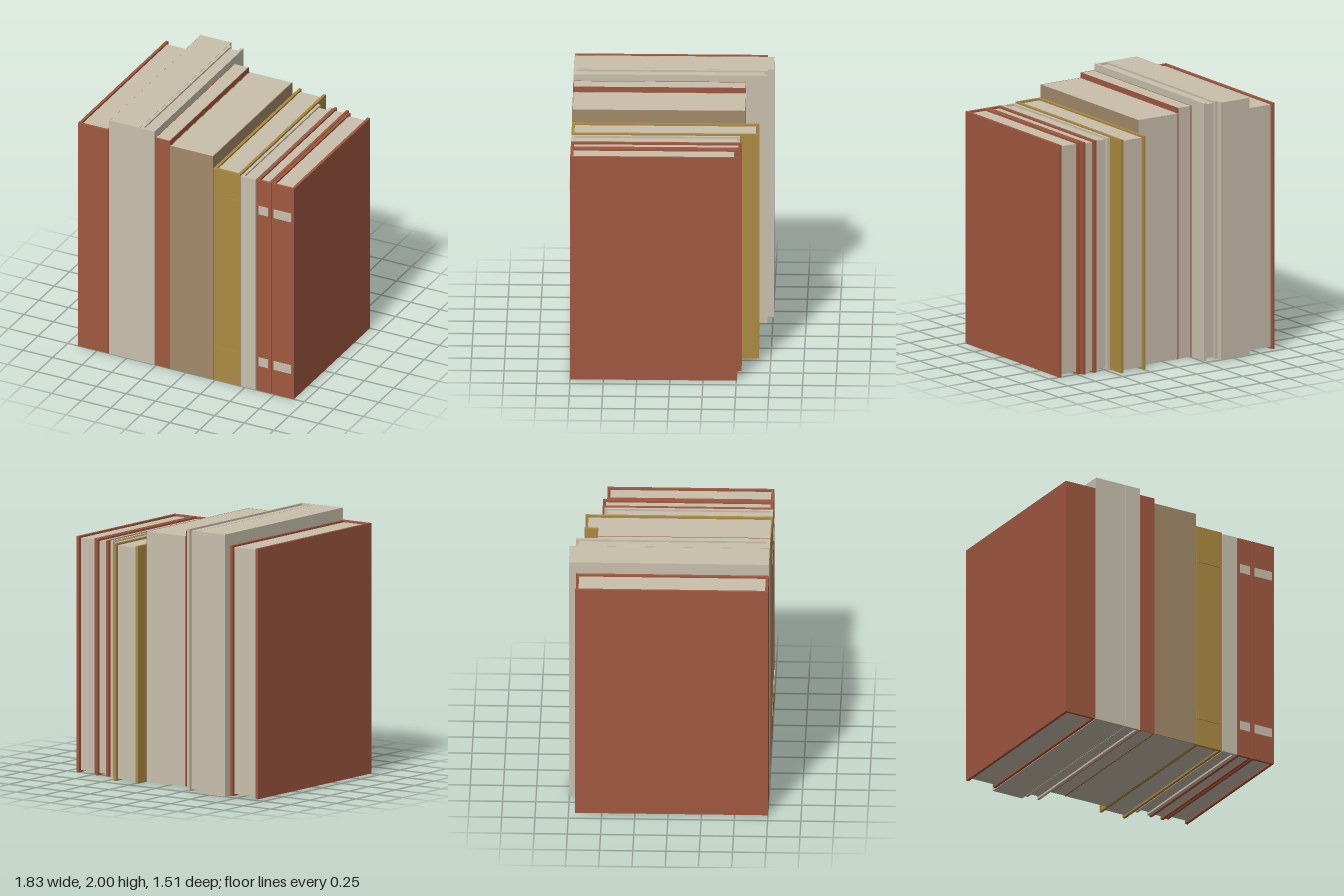
import * as THREE from 'three';

const material = (name, color) => {
  const m = new THREE.MeshStandardMaterial({ color });
  m.name = name;
  return m;
};

const FRONT = 0.75; // all spines line up here

export function createModel() {
  const red = material('red cover', 0xa05840);
  const cream = material('cream cover', 0xc9c1ae);
  const tan = material('tan cover', 0xa38a6a);
  const gold = material('gold cover', 0xac8a42);
  const paper = material('paper', 0xc9c0ac);

  // Box given by its minimum and maximum corners
  function box(group, name, mat, x0, x1, y0, y1, z0, z1) {
    const mesh = new THREE.Mesh(new THREE.BoxGeometry(x1 - x0, y1 - y0, z1 - z0), mat);
    mesh.position.set((x0 + x1) / 2, (y0 + y1) / 2, (z0 + z1) / 2);
    mesh.name = name;
    group.add(mesh);
  }

  // A book: U-shaped cover (two boards and a spine) around a page block
  function makeBook({ name, x, h, back, cover, label, paperback }) {
    const g = new THREE.Group();
    g.name = name;
    const [x0, x1] = x;
    const t = paperback ? 0.006 : 0.022;
    const inset = paperback ? 0.001 : 0.015;
    const pageBack = paperback ? back + 0.001 : back + 0.024;
    box(g, 'leftBoard', cover, x1 - t, x1, 0, h, back, FRONT);
    box(g, 'rightBoard', cover, x0, x0 + t, 0, h, back, FRONT);
    box(g, 'spine', cover, x0 + t, x1 - t, 0, h, FRONT - t, FRONT);
    box(g, 'pages', paper, x0 + t, x1 - t, inset, h - inset, pageBack, FRONT - t);
    // Two raised bands on the spine
    if (label) {
      for (const y of [0.25, 1.55]) {
        box(g, 'spineLabel', label, x0 + 0.02, x1 - 0.02, y - 0.036, y + 0.036, FRONT, FRONT + 0.006);
      }
    }
    return g;
  }

  const books = [
    { name: 'tallRedBook', x: [-0.915, -0.655], h: 1.91, back: -0.70, cover: red },
    { name: 'thickCreamBook', x: [-0.65, -0.39], h: 2.0, back: -0.755, cover: cream, paperback: true },
    { name: 'thinCreamBook', x: [-0.388, -0.265], h: 2.0, back: -0.71, cover: cream },
    { name: 'redPaperback', x: [-0.26, -0.136], h: 1.95, back: -0.548, cover: red, paperback: true },
    { name: 'tanPaperback', x: [-0.135, 0.229], h: 1.91, back: -0.552, cover: tan, paperback: true },
    { name: 'goldBook', x: [0.231, 0.457], h: 1.81, back: -0.66, cover: gold, label: gold },
    { name: 'shortCreamBook', x: [0.462, 0.587], h: 1.8, back: -0.52, cover: cream },
    { name: 'thinRedBook', x: [0.595, 0.717], h: 1.8, back: -0.535, cover: red, label: paper },
    { name: 'endRedBook', x: [0.722, 0.912], h: 1.8, back: -0.505, cover: red, label: paper },
  ];

  const model = new THREE.Group();
  model.name = 'rowOfBooks';
  for (const b of books) model.add(makeBook(b));
  return model;
}
